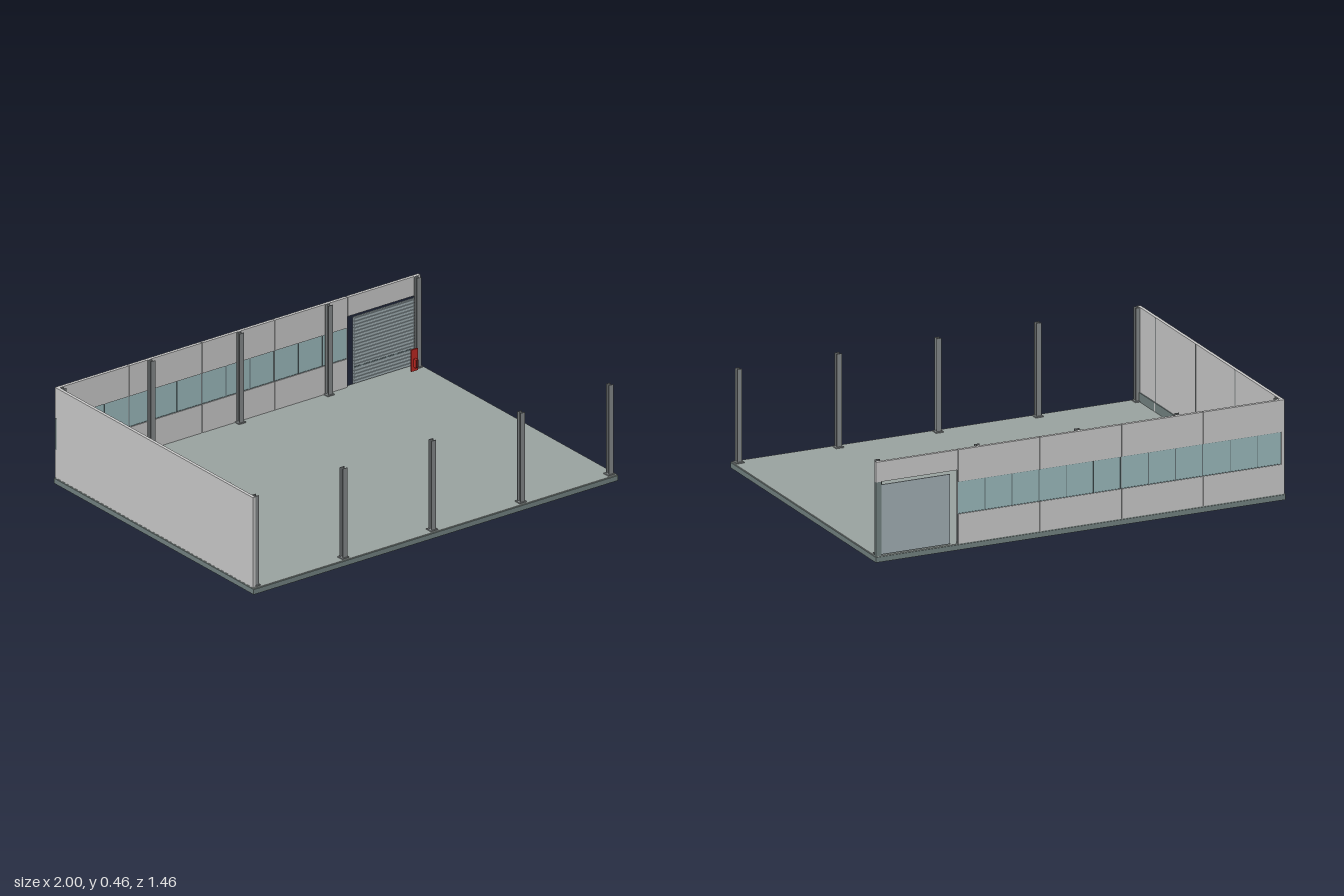
import * as THREE from 'three';

const mat = (color) => new THREE.MeshStandardMaterial({ color });

export function createModel() {
  const root = new THREE.Group();
  const wallMat = mat(0xc4c8c5), slabMat = mat(0x748382), floorMat = mat(0x9ba4a1);
  const steelMat = mat(0x858a8b), glassMat = mat(0x9dbcbf), doorMat = mat(0xa3b0b5);
  const redMat = mat(0xc02822), darkMat = mat(0x5a1a18), frameMat = mat(0x66777a);

  // Box given by its minimum and maximum corner
  const box = (parent, name, m, x0, x1, y0, y1, z0, z1) => {
    const mesh = new THREE.Mesh(new THREE.BoxGeometry(x1 - x0, y1 - y0, z1 - z0), m);
    mesh.position.set((x0 + x1) / 2, (y0 + y1) / 2, (z0 + z1) / 2);
    mesh.name = name;
    parent.add(mesh);
    return mesh;
  };
  const group = (name) => {
    const g = new THREE.Group();
    g.name = name;
    root.add(g);
    return g;
  };

  const FLOOR = 0.028, TOP = 0.463;

  // Foundation slab with a slightly inset floor finish
  box(root, 'slab', slabMat, -1, 1, 0, 0.024, -0.732, 0.732);
  box(root, 'floor', floorMat, -0.997, 0.997, 0.024, FLOOR, -0.729, 0.729);

  // H-section steel columns on base plates, in two rows
  const w = 0.012, f = 0.0035, t = 0.002;
  const hShape = new THREE.Shape([
    [-w, -w], [w, -w], [w, -w + f], [t, -w + f], [t, w - f], [w, w - f],
    [w, w], [-w, w], [-w, w - f], [-t, w - f], [-t, -w + f], [-w, -w + f],
  ].map(([x, y]) => new THREE.Vector2(x, y)));
  const hGeo = new THREE.ExtrudeGeometry(hShape, { depth: TOP - FLOOR, bevelEnabled: false });
  hGeo.rotateX(-Math.PI / 2);
  for (const z of [-0.701, 0.705]) {
    for (const x of [-0.973, -0.487, 0, 0.487, 0.973]) {
      const column = group('column');
      const beam = new THREE.Mesh(hGeo, steelMat);
      beam.position.set(x, FLOOR, z);
      beam.name = 'columnBeam';
      column.add(beam);
      box(column, 'basePlate', steelMat, x - 0.019, x + 0.019, FLOOR, FLOOR + 0.005,
        Math.max(z - 0.019, -0.714), z + 0.016);
    }
  }

  // Left wall: smooth outside, joint strips and a dark curb inside
  const leftWall = group('leftWall');
  box(leftWall, 'wallSheet', wallMat, -0.996, -0.981, FLOOR, TOP, -0.729, 0.721);
  box(leftWall, 'curb', slabMat, -0.981, -0.976, FLOOR, 0.07, -0.7, 0.7);
  for (const z of [0.535, 0.135, -0.265, -0.665]) {
    box(leftWall, 'jointStrip', steelMat, -0.981, -0.979, 0.07, TOP, z - 0.003, z + 0.003);
    box(leftWall, 'jointPost', wallMat, -0.976, -0.975, FLOOR, 0.07, z - 0.004, z + 0.004);
  }

  // Back wall: four panels, each with a band of three windows
  const backWall = group('backWall');
  const Z0 = -0.729, Z1 = -0.714, SILL = 0.165, HEAD = 0.315;
  for (let i = 0; i < 4; i++) {
    const x0 = -0.996 + i * 0.399, x1 = x0 + 0.395;
    box(backWall, 'lowerPanel', wallMat, x0, x1, FLOOR, SILL, Z0, Z1);
    box(backWall, 'upperPanel', wallMat, x0, x1, HEAD, TOP, Z0, Z1);
    box(backWall, 'jointCore', steelMat, x1, x1 + 0.004, FLOOR, TOP, -0.725, -0.718);
    const pane = (x1 - x0) / 3;
    for (let j = 0; j < 3; j++) {
      const a = x0 + j * pane;
      box(backWall, 'windowPane', glassMat, a, a + pane, SILL, HEAD, -0.724, -0.719);
      box(backWall, 'mullion', frameMat, a - 0.0015, a + 0.0015, SILL, HEAD, -0.726, -0.717);
    }
    for (const y of [SILL, HEAD - 0.002]) {
      box(backWall, 'windowRail', frameMat, x0, x1, y, y + 0.002, -0.726, -0.717);
    }
  }
  box(backWall, 'doorLintel', wallMat, 0.6, 0.998, 0.37, TOP, Z0, Z1);

  // Roller door with horizontal slats inside, beside its end post
  const door = group('rollerDoor');
  box(door, 'doorSheet', doorMat, 0.635, 0.972, 0.032, 0.355, -0.726, -0.721);
  const slats = 20, pitch = 0.318 / slats;
  for (let i = 0; i < slats; i++) {
    const y = 0.036 + i * pitch;
    box(door, 'slat', doorMat, 0.637, 0.965, y, y + pitch * 0.7, -0.721, -0.717);
  }
  box(door, 'doorRail', frameMat, 0.637, 0.965, 0.112, 0.117, -0.721, -0.716);
  box(door, 'doorPost', slabMat, 0.972, 0.998, FLOOR, 0.37, Z0, Z1);

  // Red safety boards with a small equipment box on the front
  for (const x of [-0.915, 0.915]) {
    const station = group('safetyStation');
    box(station, 'board', redMat, x - 0.018, x + 0.018, 0.045, 0.15, -0.652, -0.645);
    box(station, 'equipmentBox', redMat, x - 0.007, x + 0.007, 0.066, 0.105, -0.645, -0.627);
    box(station, 'boxFace', darkMat, x - 0.006, x + 0.006, 0.068, 0.103, -0.627, -0.626);
  }

  return root;
}
